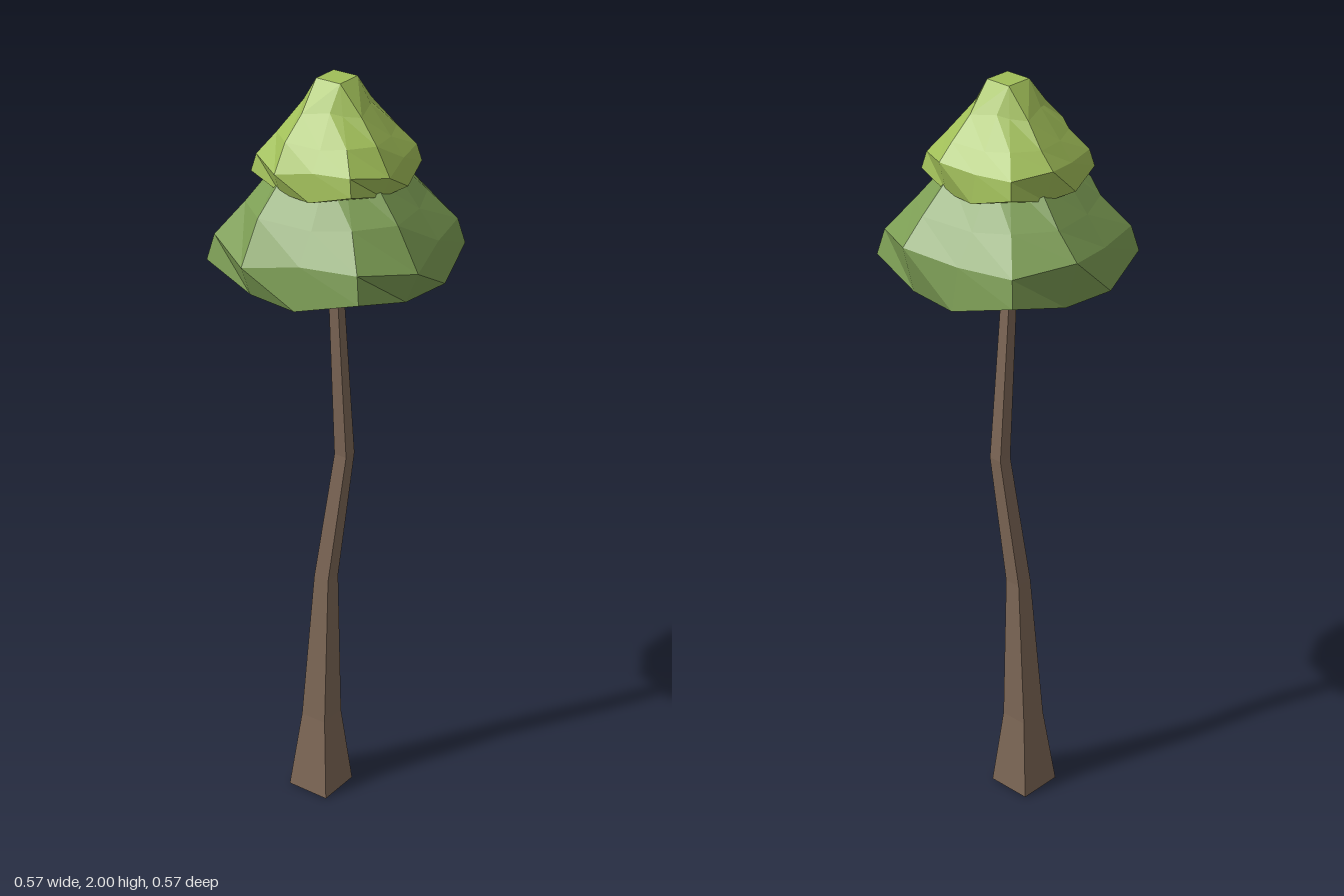
import * as THREE from 'three';

const bark = new THREE.MeshStandardMaterial({ name: 'bark', color: 0x7d6756, flatShading: true });
const darkLeaf = new THREE.MeshStandardMaterial({ name: 'darkLeaf', color: 0x7c9d54, flatShading: true });
const lightLeaf = new THREE.MeshStandardMaterial({ name: 'lightLeaf', color: 0xa0be58, flatShading: true });

// Builds a faceted geometry from points and faces of three or four corners
function facets(points, faces) {
  const index = [];
  for (const [a, b, c, d] of faces) {
    index.push(a, b, c);
    if (d !== undefined) index.push(a, c, d);
  }
  const geo = new THREE.BufferGeometry();
  geo.setAttribute('position', new THREE.Float32BufferAttribute(points.flat(), 3));
  geo.setIndex(index);
  const flat = geo.toNonIndexed();
  flat.computeVertexNormals();
  return flat;
}

// Quads joining stacked rings of n points
function bands(faces, rings, n) {
  for (let r = 0; r < rings - 1; r++) {
    for (let i = 0; i < n; i++) {
      const j = (i + 1) % n;
      faces.push([r * n + i, (r + 1) * n + i, (r + 1) * n + j, r * n + j]);
    }
  }
}

// Square trunk, lofted through y, centre x, centre z, half width
function trunkGeometry() {
  const sections = [
    [0, -0.035, 0.025, 0.06],
    [0.22, -0.036, 0.02, 0.037],
    [0.64, -0.03, 0.006, 0.022],
    [1.0, 0.008, -0.021, 0.018],
    [1.5, 0.002, 0.009, 0.013],
  ];
  const points = [], faces = [];
  for (const [y, x, z, h] of sections) {
    points.push([x + h, y, z - h], [x + h, y, z + h], [x - h, y, z + h], [x - h, y, z - h]);
  }
  bands(faces, sections.length, 4);
  const top = (sections.length - 1) * 4;
  faces.push([0, 1, 2, 3], [top + 3, top + 2, top + 1, top]);
  return facets(points, faces);
}

// Leafy clump: four twelve-point rings with a grid cap above and below
function clumpGeometry() {
  // corner offset, corner y, first reach, first y, second reach, second y, half spacing
  const rings = [
    [0.222, 0.1, 0.266, 0.06, 0.25, 0.06, 0.07],
    [0.208, 0.165, 0.245, 0.165, 0.283, 0.162, 0.07],
    [0.155, 0.245, 0.192, 0.235, 0.222, 0.245, 0.066],
    [0.09, 0.335, 0.112, 0.345, 0.145, 0.33, 0.05],
  ];
  const points = [], faces = [];
  const add = (k, out, along, y) => {
    const c = Math.round(Math.cos(k * Math.PI / 2)), s = Math.round(Math.sin(k * Math.PI / 2));
    points.push([c * out - s * along, y, s * out + c * along]);
  };
  rings.forEach(([c, cy, a, ay, b, by, w], r) => {
    for (let k = 0; k < 4; k++) {
      const lift = r === 1 ? (k < 2 ? -0.022 : 0.022) : 0; // uneven rim
      add(k, c, -c, cy);
      add(k, a, -w, ay);
      add(k, b, w, by + lift);
    }
  });
  bands(faces, rings.length, 12);
  const cap = (start, half, y, up) => {
    const inner = points.length;
    for (let k = 0; k < 4; k++) add(k, half, -half, y);
    const quads = [[inner, inner + 1, inner + 2, inner + 3]];
    for (let k = 0; k < 4; k++) {
      const p = start + 3 * k, before = start + (3 * k + 11) % 12;
      quads.push([before, p, p + 1, inner + k]);
      quads.push([p + 1, p + 2, inner + (k + 1) % 4, inner + k]);
    }
    for (const q of quads) faces.push(up ? q.reverse() : q);
  };
  cap(0, 0.066, 0, false);
  cap(36, 0.053, 0.438, true);
  return facets(points, faces);
}

export function createModel() {
  const group = new THREE.Group();
  group.name = 'tree';
  const add = (name, geo, mat, y = 0, scale = 1) => {
    const mesh = new THREE.Mesh(geo, mat);
    mesh.name = name;
    mesh.position.y = y;
    mesh.scale.setScalar(scale);
    group.add(mesh);
  };
  add('trunk', trunkGeometry(), bark);
  const clump = clumpGeometry();
  add('lowerFoliage', clump, darkLeaf, 1.46);
  add('upperFoliage', clump, lightLeaf, 1.715, 0.65);
  return group;
}
